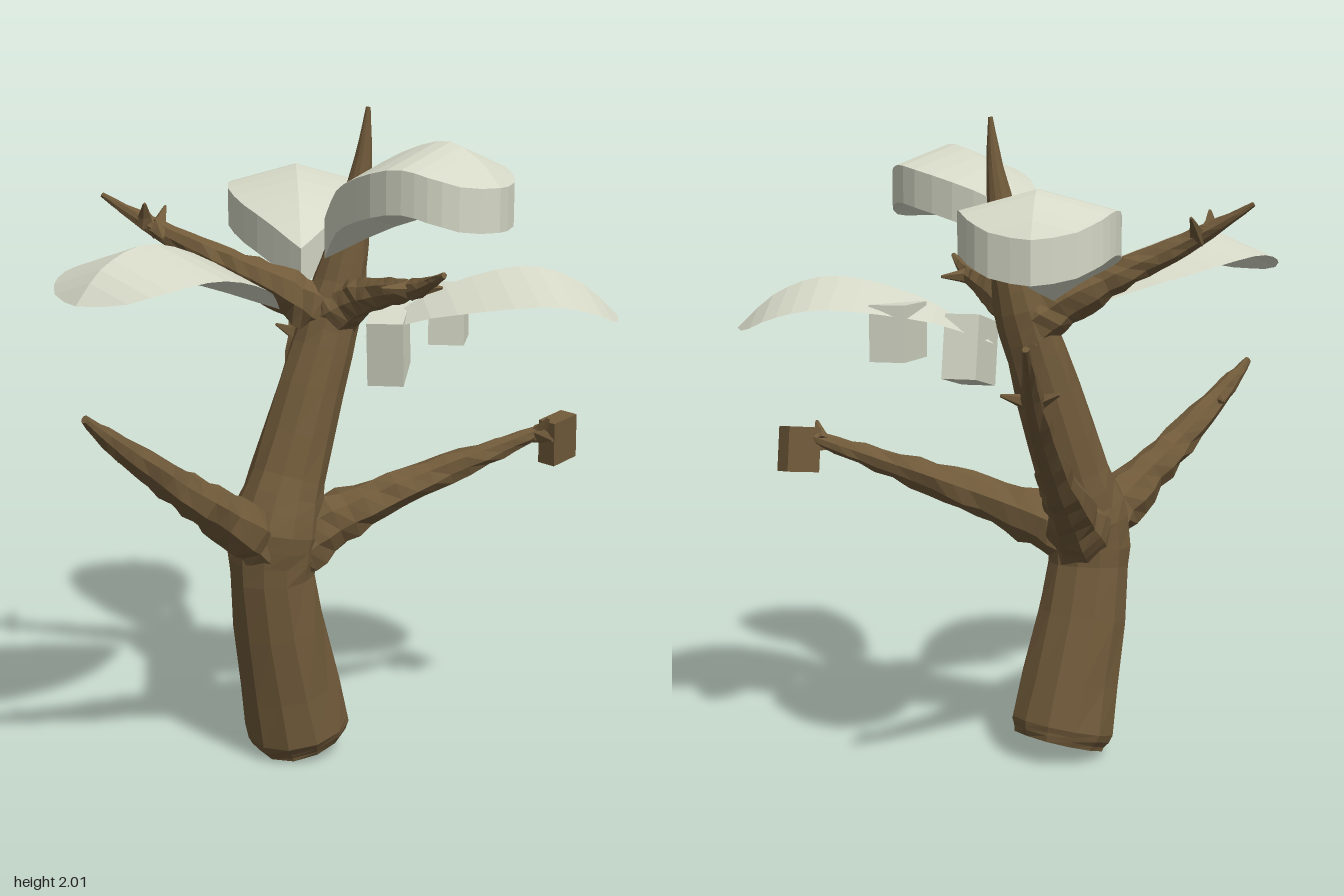
import * as THREE from 'three';

const V = (p) => new THREE.Vector3(...p);

// Faceted geometry from a list of triangle corners
function facets(corners) {
  const g = new THREE.BufferGeometry().setFromPoints(corners);
  g.computeVertexNormals();
  return g;
}

// Tapered, slightly knobbly limb: path entries are [x, y, z, radius]
function limb(path, { sides = 9, steps = 8, rough = 0.08, seed = 1 } = {}) {
  let s = seed * 7919;
  const rand = () => ((s = (s * 16807) % 2147483647) / 2147483647) * 2 - 1;
  const curve = new THREE.CatmullRomCurve3(path.map((p) => V(p.slice(0, 3))), false, 'centripetal');
  const n = (path.length - 1) * steps;
  const rings = [];
  const side = new THREE.Vector3(0.31, 0.12, 0.9);
  for (let i = 0; i <= n; i++) {
    const u = i / n, f = u * (path.length - 1);
    const k = Math.min(Math.floor(f), path.length - 2);
    const r = THREE.MathUtils.lerp(path[k][3], path[k + 1][3], f - k);
    const c = curve.getPoint(u), t = curve.getTangent(u);
    side.addScaledVector(t, -side.dot(t)).normalize();
    const up = new THREE.Vector3().crossVectors(t, side);
    const ring = [];
    for (let j = 0; j < sides; j++) {
      const a = (j / sides) * Math.PI * 2, q = r * (1 + rough * rand());
      ring.push(c.clone().addScaledVector(side, q * Math.cos(a)).addScaledVector(up, q * Math.sin(a)));
    }
    rings.push({ c, ring });
  }
  const out = [];
  for (let j = 0; j < sides; j++) {
    const m = (j + 1) % sides;
    for (let i = 0; i < n; i++) {
      const A = rings[i].ring, B = rings[i + 1].ring;
      out.push(A[j], A[m], B[m], A[j], B[m], B[j]);
    }
    out.push(rings[0].c, rings[0].ring[m], rings[0].ring[j]);
    out.push(rings[n].c, rings[n].ring[j], rings[n].ring[m]);
  }
  return facets(out);
}

// Arched leaf folded along its midrib; depth > 0 gives it upright walls and an underside
function leaf({ base, tip, ridge, width, drop, depth = 0 }) {
  const n = 14;
  const dir = new THREE.Vector3(tip[0] - base[0], 0, tip[1] - base[1]);
  const across = new THREE.Vector3(-dir.z, 0, dir.x).normalize();
  const arch = new THREE.SplineCurve(ridge.map(([t, y]) => new THREE.Vector2(t, y)));
  const outline = new THREE.SplineCurve(
    [[0, 0], [0.15, 0.36], [0.35, 0.77], [0.6, 1], [0.8, 0.89], [0.93, 0.56], [1, 0]]
      .map((p) => new THREE.Vector2(...p)));
  const widthAt = (t) => {
    let lo = 0, hi = 1;
    for (let i = 0; i < 24; i++) {
      const mid = (lo + hi) / 2;
      if (outline.getPoint(mid).x < t) lo = mid; else hi = mid;
    }
    return Math.max(0, outline.getPoint(lo).y);
  };
  const rows = [];
  for (let i = 0; i <= n; i++) {
    const p = arch.getPoint(i / n), w = i === 0 || i === n ? 0 : widthAt(p.x);
    rows.push([-1, 0, 1].map((s) => new THREE.Vector3(base[0], p.y - Math.abs(s) * w * drop, base[1])
      .addScaledVector(dir, p.x).addScaledVector(across, s * w * width)));
  }
  const out = [];
  const low = (v) => v.clone().setY(v.y - depth);
  const quad = (a, b, c, d) => out.push(a, b, c, a, c, d);
  for (let i = 0; i < n; i++) {
    const P = rows[i], Q = rows[i + 1];
    for (let k = 0; k < 2; k++) {
      quad(P[k], Q[k], Q[k + 1], P[k + 1]);
      out.splice(-6, 6, P[k], P[k + 1], Q[k + 1], P[k], Q[k + 1], Q[k]);
      const [a, b, c, d] = [P[k], P[k + 1], Q[k + 1], Q[k]];
      out.splice(-6, 6, a, c, b, a, d, c);
      if (depth) quad(low(a), low(b), low(c), low(d));
    }
    if (depth) {
      quad(P[0], low(P[0]), low(Q[0]), Q[0]);
      quad(P[2], Q[2], low(Q[2]), low(P[2]));
    }
  }
  // Turn any face of the blade's top that looks downwards
  const up = new THREE.Vector3().subVectors(out[1], out[0]).cross(new THREE.Vector3().subVectors(out[2], out[0]));
  const last = new THREE.Vector3().subVectors(out[4], out[3]).cross(new THREE.Vector3().subVectors(out[5], out[3]));
  if (up.y + last.y < 0) for (let i = 0; i < out.length; i += 3) [out[i + 1], out[i + 2]] = [out[i + 2], out[i + 1]];
  return facets(out);
}

export function createModel() {
  const root = new THREE.Group();
  root.name = 'tree';
  const bark = new THREE.MeshStandardMaterial({ color: 0x705a3a });
  bark.name = 'bark brown';
  const pale = new THREE.MeshStandardMaterial({ color: 0xd5d8c6, side: THREE.DoubleSide });
  pale.name = 'pale leaf';
  const add = (name, geometry, material) => {
    const m = new THREE.Mesh(geometry, material);
    m.name = name;
    root.add(m);
    return m;
  };

  // Trunk, leaning one way and then the other, up to a pointed top
  add('trunk', limb([
    [-0.035, 0.04, 0.035, 0.145], [-0.05, 0.09, 0.04, 0.168], [-0.16, 0.6, 0.08, 0.132],
    [-0.15, 0.74, 0.085, 0.145], [-0.1, 0.9, 0.075, 0.118], [0.03, 1.28, 0.055, 0.095],
    [0.075, 1.42, 0.055, 0.09], [0.115, 1.6, 0.065, 0.062], [0.15, 1.85, 0.09, 0.026],
    [0.16, 2.0, 0.1, 0.007],
  ], { sides: 12, steps: 3, rough: 0.03 }), bark);

  // Main branches
  const branches = {
    leftBranch: [[-0.14, 0.66, 0.09, 0.12], [-0.28, 0.77, 0.13, 0.085], [-0.5, 0.92, 0.2, 0.06],
      [-0.74, 1.1, 0.28, 0.036], [-0.86, 1.2, 0.32, 0.012]],
    rightBranch: [[-0.15, 0.67, 0.09, 0.12], [0.02, 0.76, 0.14, 0.085], [0.26, 0.86, 0.21, 0.058],
      [0.52, 0.96, 0.3, 0.034], [0.7, 1.03, 0.36, 0.016]],
    backBranch: [[-0.14, 0.68, 0.06, 0.12], [-0.03, 0.8, -0.08, 0.075], [0.12, 0.97, -0.3, 0.052],
      [0.29, 1.2, -0.57, 0.033], [0.39, 1.38, -0.76, 0.01]],
    upperLeftBranch: [[0.06, 1.36, 0.05, 0.09], [-0.06, 1.45, -0.01, 0.07], [-0.22, 1.54, -0.09, 0.046],
      [-0.4, 1.64, -0.19, 0.03], [-0.53, 1.74, -0.3, 0.008]],
    upperFrontBranch: [[0.06, 1.38, 0.05, 0.09], [0.09, 1.44, 0.16, 0.062], [0.1, 1.48, 0.32, 0.042],
      [0.1, 1.51, 0.48, 0.028], [0.1, 1.56, 0.61, 0.009]],
  };
  Object.entries(branches).forEach(([name, path], i) =>
    add(name, limb(path, { sides: 8, steps: 5, rough: 0.13, seed: i + 3 }), bark));

  // Short spurs sticking out near the branch ends: from, to
  [
    [[-0.4, 1.64, -0.19], [-0.42, 1.62, -0.11]], [[-0.4, 1.64, -0.19], [-0.34, 1.7, -0.26]],
    [[-0.43, 1.66, -0.21], [-0.45, 1.72, -0.17]], [[0.29, 1.21, -0.57], [0.38, 1.235, -0.55]],
    [[0.29, 1.21, -0.57], [0.24, 1.24, -0.63]], [[0.1, 1.5, 0.44], [0.2, 1.5, 0.45]],
    [[0.1, 1.5, 0.44], [0.0, 1.51, 0.44]], [[0.64, 1.0, 0.34], [0.62, 1.0, 0.44]],
    [[0.64, 1.0, 0.34], [0.64, 1.06, 0.39]], [[-0.72, 1.08, 0.27], [-0.7, 1.08, 0.2]],
  ].forEach(([a, b], i) => add('spur' + (i + 1),
    limb([[...a, 0.034], [...b, 0.005]], { sides: 5, steps: 2, seed: i + 20 }), bark));

  // Block hanging at the end of the right branch
  const block = add('branchEndBlock', new THREE.BoxGeometry(0.115, 0.14, 0.06), bark);
  block.position.set(0.71, 0.98, 0.345);
  block.rotation.set(0.08, 0.3, 0.1);

  // Leaves: two thin blades at the sides, two thick ones at front and back
  const leaves = {
    leftLeaf: { base: [-0.12, 0.06], tip: [-0.88, 0.33], width: 0.265, drop: 0.08,
      ridge: [[0, 1.41], [0.3, 1.56], [0.63, 1.65], [0.86, 1.61], [1, 1.51]] },
    rightLeaf: { base: [0.15, 0.1], tip: [0.88, 0.41], width: 0.285, drop: 0.085,
      ridge: [[0, 1.31], [0.27, 1.45], [0.6, 1.52], [0.83, 1.475], [1, 1.36]] },
    frontLeaf: { base: [0, 0.12], tip: [0.17, 0.77], width: 0.205, drop: 0.07, depth: 0.12,
      ridge: [[0, 1.68], [0.3, 1.84], [0.66, 1.925], [0.86, 1.89], [1, 1.81]] },
    backLeaf: { base: [0.02, -0.06], tip: [0.36, -0.72], width: 0.225, drop: 0.06, depth: 0.12,
      ridge: [[0, 1.57], [0.3, 1.71], [0.68, 1.79], [0.87, 1.75], [1, 1.66]] },
  };
  for (const [name, spec] of Object.entries(leaves)) add(name, leaf(spec), pale);

  // Two slanted blocks tucked under the right leaf
  [[0.46, 1.36, 0.1, 0.17], [0.215, 1.29, 0.14, 0.2]].forEach(([x, y, z, h], i) => {
    const b = add('leafBlock' + (i + 1), new THREE.BoxGeometry(0.2, h, 0.11), pale);
    b.position.set(x, y, z);
    b.rotation.set(0, 0.9, i * 0.2);
  });
  return root;
}
